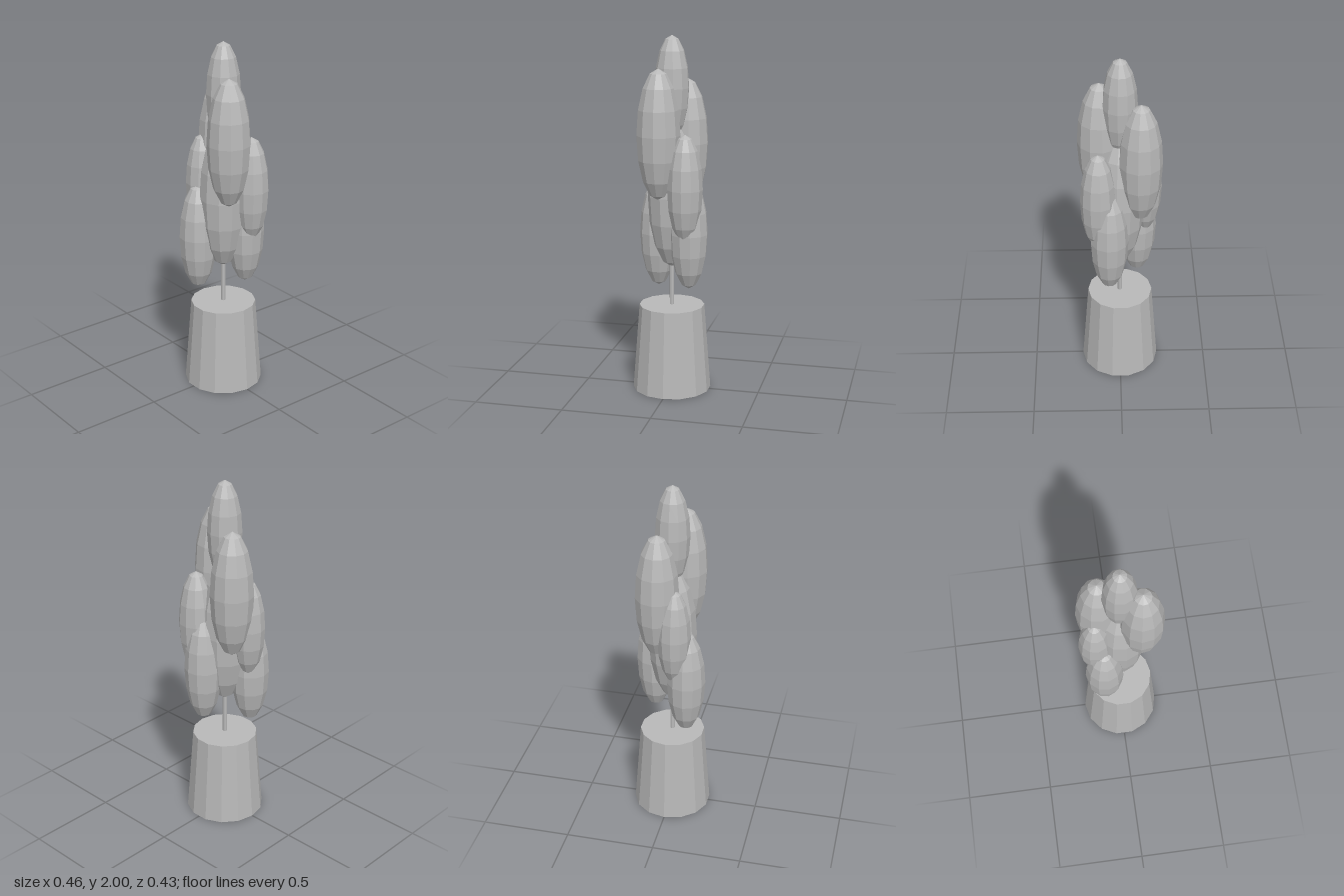
import * as THREE from 'three';

export function createModel() {
  const group = new THREE.Group();
  group.name = 'pottedTree';
  const grey = new THREE.MeshStandardMaterial({ color: 0xb8b8b8, flatShading: true });
  grey.name = 'plain grey';

  function add(name, geometry, x, y, z) {
    const mesh = new THREE.Mesh(geometry, grey);
    mesh.name = name;
    mesh.position.set(x, y, z);
    group.add(mesh);
    return mesh;
  }

  // Tapered pot with a flat face towards the front
  const potHeight = 0.49;
  add('pot', new THREE.CylinderGeometry(0.183, 0.22, potHeight, 14).rotateY(Math.PI / 14), 0, potHeight / 2, 0);

  // Thin trunk running up into the foliage
  add('trunk', new THREE.CylinderGeometry(0.013, 0.013, 0.7, 8), 0, 0.8, 0);

  // Foliage: tall faceted ellipsoids [x, y, z, radius, half height, turn]
  const clumps = [
    [0, 1.715, 0, 0.095, 0.285, 0],
    [0.11, 1.47, 0.05, 0.12, 0.36, Math.PI],
    [-0.11, 1.4, -0.06, 0.12, 0.36, 0],
    [0.12, 1.18, -0.1, 0.098, 0.3, Math.PI],
    [-0.14, 1.18, 0.04, 0.092, 0.28, 0],
    [0, 1.12, 0, 0.135, 0.41, 0],
    [0.06, 0.92, -0.11, 0.106, 0.315, 0],
    [-0.1, 0.88, 0.1, 0.107, 0.31, 0],
  ];
  clumps.forEach(([x, y, z, radius, halfHeight, turn], i) => {
    const geometry = new THREE.SphereGeometry(1, 11, 8).rotateY(turn).scale(radius, halfHeight, radius);
    add('foliage' + (i + 1), geometry, x, y, z);
  });

  return group;
}
